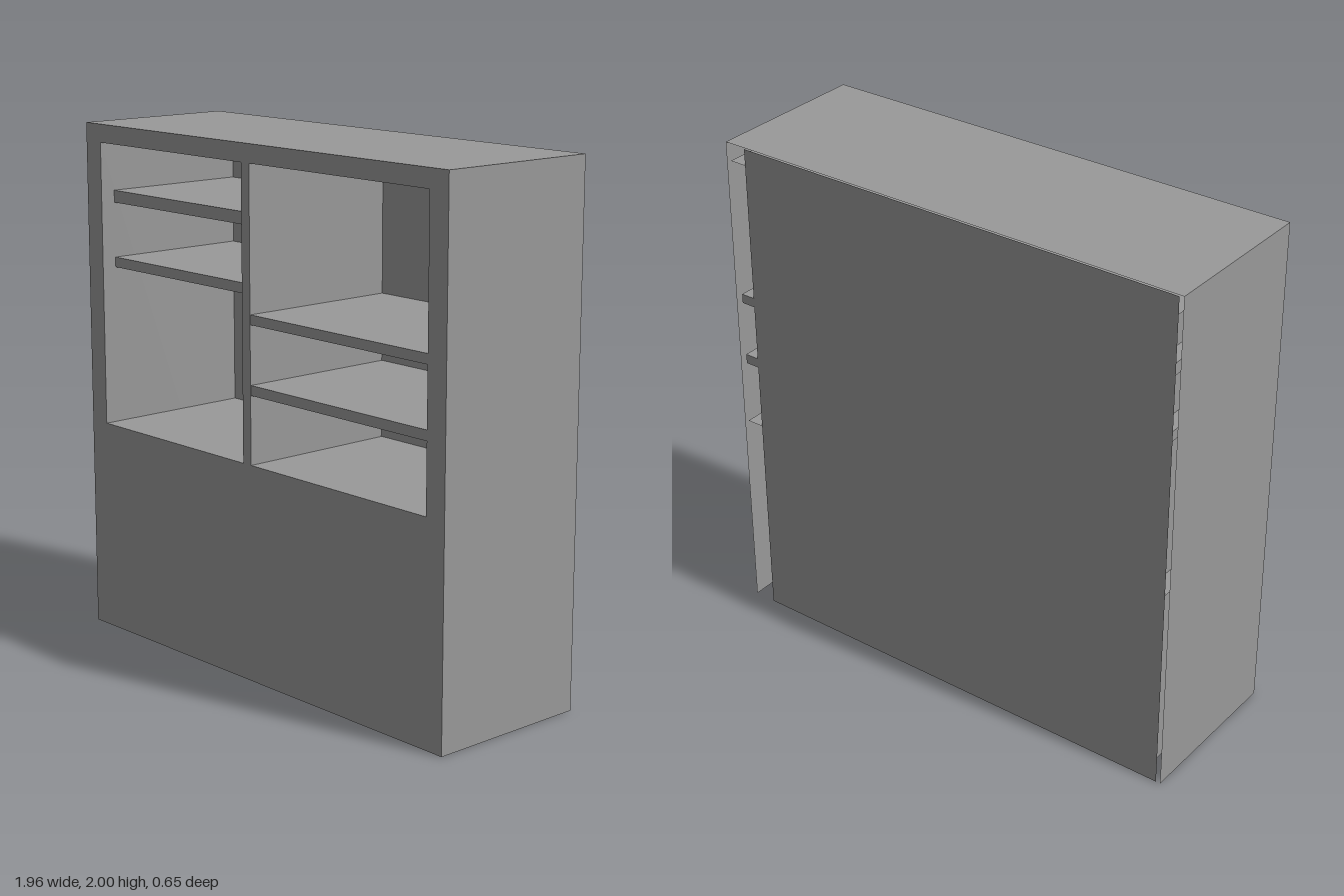
import * as THREE from 'three';

export function createModel() {
  const group = new THREE.Group();
  group.name = 'shelfUnit';
  const grey = new THREE.MeshStandardMaterial({ color: 0x999999, side: THREE.DoubleSide });
  grey.name = 'grey';

  const W = 0.978, H = 2, D = 0.327;      // outer half width, height, half depth
  const IN = 0.89, FLOOR = 0.83, CEIL = 1.93; // opening
  const DIV0 = -0.058, DIV1 = -0.014;     // divider faces

  const add = (name, geometry) => {
    const mesh = new THREE.Mesh(geometry, grey);
    mesh.name = name;
    group.add(mesh);
    return mesh;
  };
  // solid board between two corners
  const board = (name, x0, x1, y0, y1, z0, z1) =>
    add(name, new THREE.BoxGeometry(x1 - x0, y1 - y0, z1 - z0))
      .position.set((x0 + x1) / 2, (y0 + y1) / 2, (z0 + z1) / 2);
  // thin upright sheet, facing +x or -x
  const upright = (name, x, y0, y1) => {
    const mesh = add(name, new THREE.PlaneGeometry(2 * D, y1 - y0));
    mesh.rotation.y = Math.sign(x) * Math.PI / 2;
    mesh.position.set(x, (y0 + y1) / 2, 0);
  };
  // thin level sheet
  const level = (name, x0, x1, y) => {
    const mesh = add(name, new THREE.PlaneGeometry(x1 - x0, 2 * D));
    mesh.rotation.x = -Math.PI / 2;
    mesh.position.set((x0 + x1) / 2, y, 0);
  };

  // front face with the compartment opening
  const face = new THREE.Shape([[-W, 0], [W, 0], [W, H], [-W, H]].map(p => new THREE.Vector2(...p)));
  face.holes.push(new THREE.Path(
    [[-IN, FLOOR], [-IN, CEIL], [IN, CEIL], [IN, FLOOR]].map(p => new THREE.Vector2(...p))));
  add('frontFrame', new THREE.ShapeGeometry(face)).position.z = D;

  // outer shell and inner lining, open underneath and along the back edges
  for (const side of [-1, 1]) {
    upright('outerSide', side * W, 0, H);
    upright('innerSide', side * IN, 0, CEIL);
  }
  level('top', -W, W, H);
  level('compartmentCeiling', -0.96, 0.96, CEIL);
  level('compartmentFloor', -0.96, 0.96, FLOOR);

  // back sheet, set a little off centre
  const back = add('backPanel', new THREE.PlaneGeometry(0.96 + IN, H - 0.005));
  back.rotation.y = Math.PI;
  back.position.set((IN - 0.96) / 2, (H - 0.005) / 2, -D);

  // divider and shelves
  board('divider', DIV0, DIV1, FLOOR, CEIL, -D + 0.002, D);
  for (const [y0, y1] of [[1.695, 1.742], [1.443, 1.482]])
    board('leftShelf', -0.95, DIV0, y0, y1, -D + 0.002, D - 0.06);
  for (const [y0, y1] of [[1.35, 1.387], [1.09, 1.128]])
    board('rightShelf', DIV1, 0.95, y0, y1, -D + 0.002, D - 0.002);

  return group;
}
